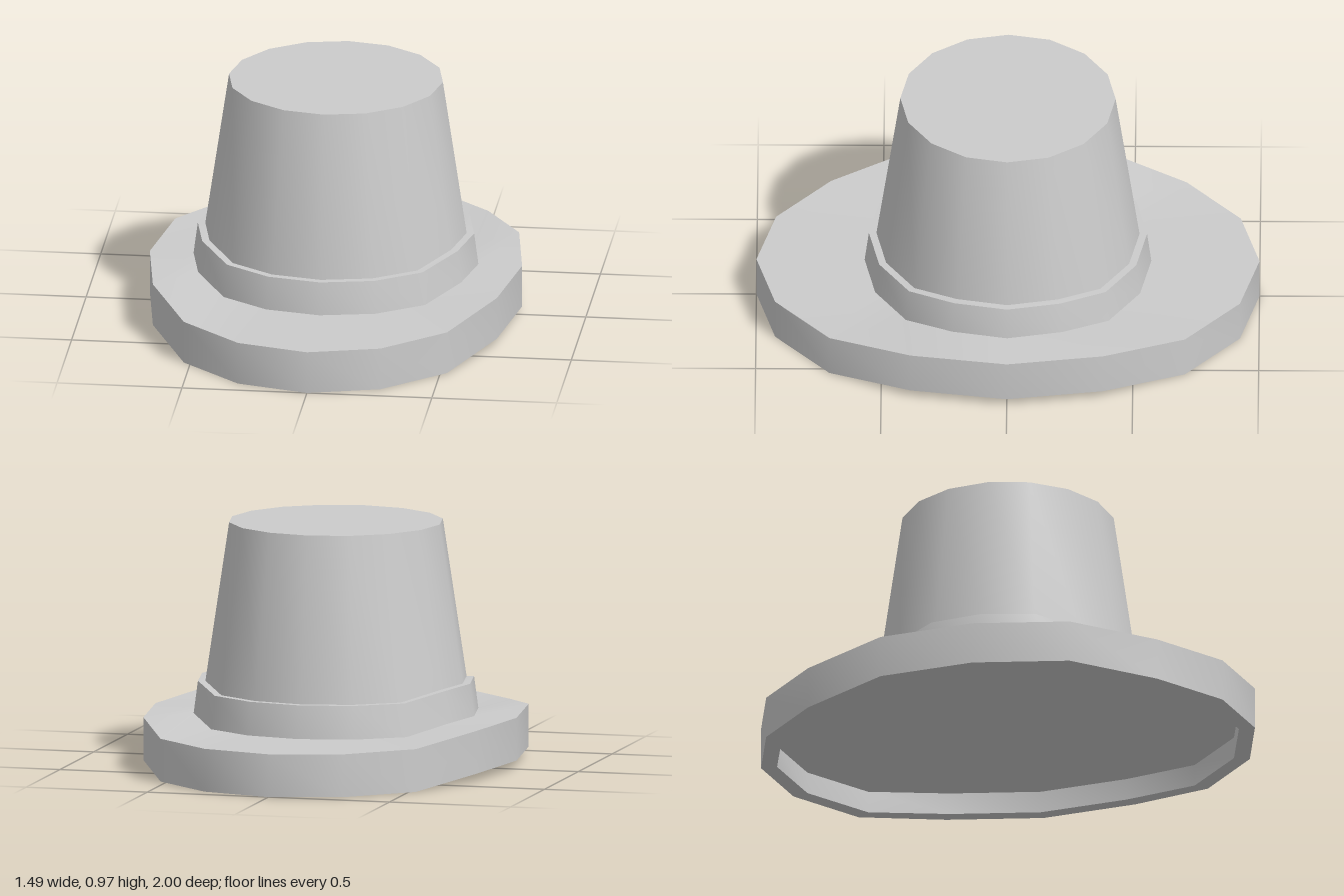
import * as THREE from 'three';
import { toCreasedNormals } from 'three/addons/utils/BufferGeometryUtils.js';

const SIDES = 16;
const LIFT = 0.034; // how far the left and right sides of the brim curl up

// Skin a list of rings [rx, rz, y, lift], listed so the outside faces outward.
function loft(rings) {
  const points = [];
  const index = [];
  rings.forEach(([rx, rz, y, lift]) => {
    for (let k = 0; k < SIDES; k++) {
      const a = (k / SIDES) * Math.PI * 2;
      const raised = [0, 1, 7].includes(k % 8);
      points.push(rx * Math.cos(a), y + (raised ? lift : 0), -rz * Math.sin(a));
    }
  });
  for (let i = 0; i < rings.length - 1; i++) {
    for (let k = 0; k < SIDES; k++) {
      const a = i * SIDES + k;
      const b = i * SIDES + ((k + 1) % SIDES);
      const c = b + SIDES;
      const d = a + SIDES;
      if (rings[i][0] > 0) index.push(a, b, d);
      if (rings[i + 1][0] > 0) index.push(b, c, d);
      // at a closing centre the first triangle already fills the wedge
    }
  }
  const geometry = new THREE.BufferGeometry();
  geometry.setAttribute('position', new THREE.Float32BufferAttribute(points, 3));
  geometry.setIndex(index);
  return toCreasedNormals(geometry, THREE.MathUtils.degToRad(40));
}

export function createModel() {
  const hat = new THREE.Group();
  hat.name = 'hat';
  const material = new THREE.MeshStandardMaterial({ color: 0xcccccc });

  function addPart(name, rings) {
    const mesh = new THREE.Mesh(loft(rings), material);
    mesh.name = name;
    hat.add(mesh);
  }

  // Oval brim: recessed underside, lip, outer wall, upper surface
  addPart('brim', [
    [0, 0, 0.1, 0],
    [0.69, 0.935, 0.09, LIFT],
    [0.69, 0.935, 0, LIFT],
    [0.745, 1, 0, LIFT],
    [0.745, 1, 0.172, LIFT],
    [0.57, 0.57, 0.172, LIFT],
  ]);

  // Band around the foot of the crown, with a narrow ledge on top
  addPart('band', [
    [0.57, 0.57, 0.172, LIFT],
    [0.553, 0.553, 0.305, 0.03],
    [0.523, 0.523, 0.305, 0.03],
  ]);

  // Tapered crown with a flat top
  addPart('crown', [
    [0.523, 0.523, 0.305, 0.03],
    [0.428, 0.428, 0.97, 0],
    [0, 0, 0.97, 0],
  ]);

  return hat;
}
